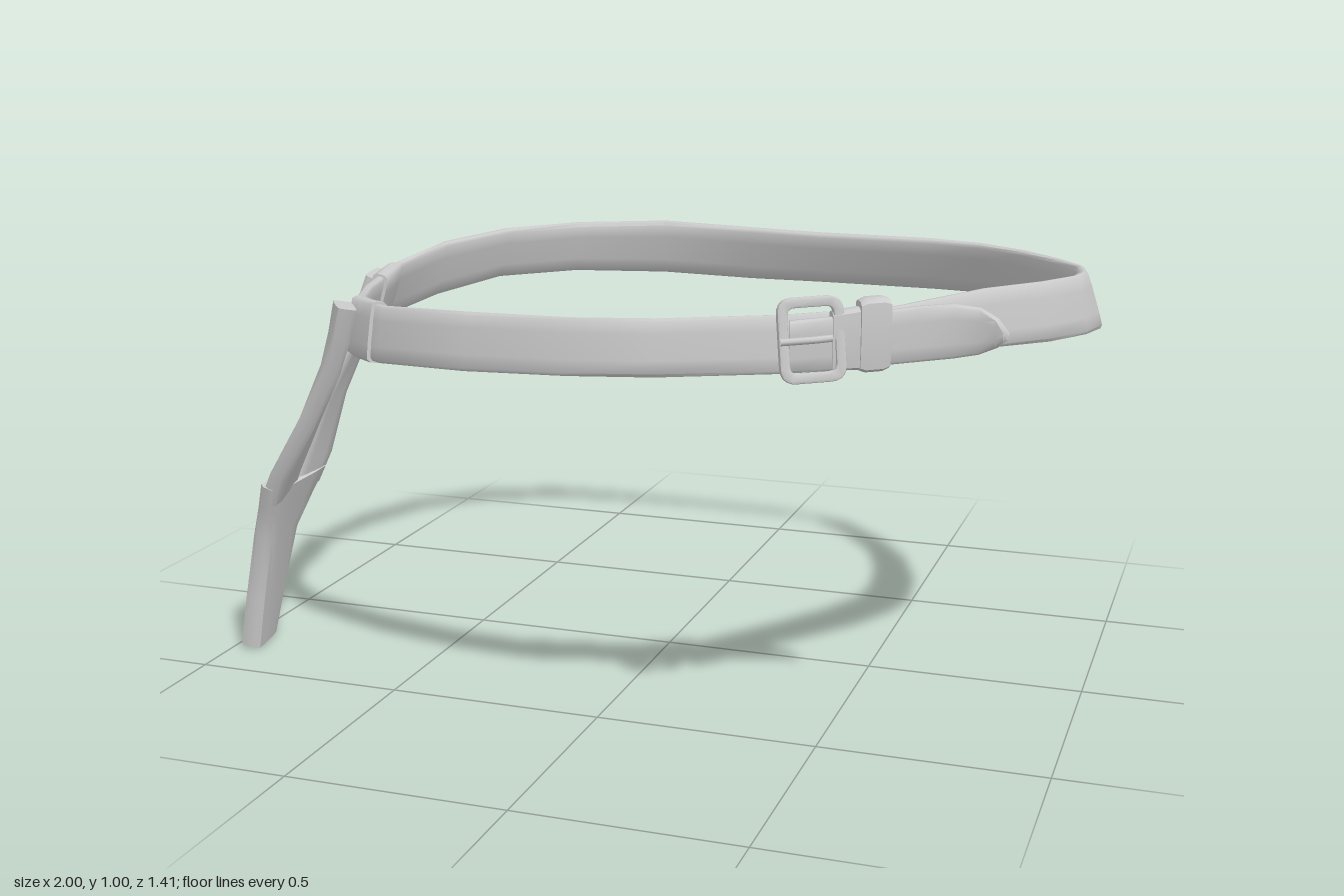
import * as THREE from 'three';
import { toCreasedNormals } from 'three/addons/utils/BufferGeometryUtils.js';

const V = (x, y, z) => new THREE.Vector3(x, y, z);
const material = new THREE.MeshStandardMaterial({ color: 0xcccccc });

function addMesh(parent, name, geometry) {
  const mesh = new THREE.Mesh(geometry, material);
  mesh.name = name;
  parent.add(mesh);
  return mesh;
}

// rounded flat cross-section: [along half width, along half thickness]
const PROFILE = [[1, 0.45], [0.9, 0.9], [0.45, 1], [-0.45, 1], [-0.9, 0.9], [-1, 0.45],
  [-1, -0.45], [-0.9, -0.9], [-0.45, -1], [0.45, -1], [0.9, -0.9], [1, -0.45]];

// Lofts a strap through sections { c: centre, u: half width vector }
function strap(sections, halfThick, closed = false) {
  const n = sections.length, m = PROFILE.length, pos = [], idx = [];
  sections.forEach(({ c, u }, i) => {
    const a = sections[closed ? (i + n - 1) % n : Math.max(i - 1, 0)].c;
    const b = sections[closed ? (i + 1) % n : Math.min(i + 1, n - 1)].c;
    const v = b.clone().sub(a).cross(u).normalize().multiplyScalar(halfThick);
    for (const [p, q] of PROFILE) {
      pos.push(...c.clone().addScaledVector(u, p).addScaledVector(v, q).toArray());
    }
  });
  for (let i = 0; i < (closed ? n : n - 1); i++) {
    for (let j = 0; j < m; j++) {
      const k = (j + 1) % m, r = i * m, s = ((i + 1) % n) * m;
      idx.push(r + j, r + k, s + j, r + k, s + k, s + j);
    }
  }
  if (!closed) {
    const e = (n - 1) * m;
    for (let j = 1; j < m - 1; j++) idx.push(0, j + 1, j, e, e + j, e + j + 1);
  }
  // turn the faces outward if the enclosed volume comes out negative
  const at = (i) => V().fromArray(pos, i * 3);
  let volume = 0;
  for (let i = 0; i < idx.length; i += 3) {
    volume += at(idx[i]).dot(at(idx[i + 1]).cross(at(idx[i + 2])));
  }
  if (volume < 0) idx.reverse();
  const g = new THREE.BufferGeometry();
  g.setAttribute('position', new THREE.Float32BufferAttribute(pos, 3));
  g.setIndex(idx);
  return toCreasedNormals(g, 0.95);
}

// belt stations, clockwise from the back: outer x, outer z, inward lean, bottom y, top y
const BELT = [
  [0.2, -0.71, 0.08, 0.8, 0.935], [0.5, -0.7, 0.08, 0.8, 0.935], [0.66, -0.65, 0.08, 0.805, 0.935],
  [0.8, -0.51, 0.07, 0.815, 0.94], [0.9, -0.36, 0.06, 0.82, 0.945], [0.97, -0.18, 0.06, 0.835, 0.96],
  [1, 0, 0.06, 0.85, 0.975], [0.98, 0.1, 0.045, 0.855, 0.98], [0.92, 0.23, 0.04, 0.86, 0.985],
  [0.82, 0.38, 0.035, 0.87, 0.99], [0.66, 0.57, 0.03, 0.865, 0.975], [0.45, 0.65, 0.035, 0.845, 0.96],
  [0.2, 0.7, 0.045, 0.83, 0.945], [0, 0.68, 0.045, 0.815, 0.932], [-0.25, 0.62, 0.045, 0.795, 0.918],
  [-0.5, 0.52, 0.04, 0.775, 0.9], [-0.62, 0.42, 0.035, 0.77, 0.893], [-0.7, 0.25, 0.05, 0.765, 0.893],
  [-0.76, 0, 0.07, 0.775, 0.91], [-0.71, -0.2, 0.06, 0.8, 0.935], [-0.62, -0.4, 0.065, 0.82, 0.947],
  [-0.46, -0.56, 0.06, 0.82, 0.95], [-0.24, -0.67, 0.06, 0.81, 0.95], [0, -0.705, 0.075, 0.8, 0.94],
];

function beltSections() {
  const n = BELT.length;
  return BELT.map(([x, z, lean, y0, y1], i) => {
    const a = BELT[(i + n - 1) % n], b = BELT[(i + 1) % n];
    const inward = V(a[1] - b[1], 0, b[0] - a[0]).normalize();
    return {
      c: V(x, (y0 + y1) / 2, z).addScaledVector(inward, lean / 2),
      u: inward.clone().multiplyScalar((lean - 0.02) / 2).setY((y1 - y0) / 2),
    };
  });
}

// section of the belt at a fractional station, widened a little
function sectionAt(sections, t, grow) {
  const i = Math.floor(t), a = sections[i], b = sections[i + 1];
  return { c: a.c.clone().lerp(b.c, t - i), u: a.u.clone().lerp(b.u, t - i).multiplyScalar(grow) };
}

// rows of centre x, y, z and half width vector x, y, z
const rows = (list) => list.map(([x, y, z, a, b, c]) => ({ c: V(x, y, z), u: V(a, b, c) }));

function roundedRect(path, w, h, r) {
  path.moveTo(-w + r, -h);
  path.lineTo(w - r, -h).quadraticCurveTo(w, -h, w, -h + r);
  path.lineTo(w, h - r).quadraticCurveTo(w, h, w - r, h);
  path.lineTo(-w + r, h).quadraticCurveTo(-w, h, -w, h - r);
  path.lineTo(-w, -h + r).quadraticCurveTo(-w, -h, -w + r, -h);
  return path;
}

function createBuckle() {
  const buckle = new THREE.Group();
  buckle.name = 'buckle';
  const shape = roundedRect(new THREE.Shape(), 0.062, 0.08, 0.028);
  shape.holes.push(roundedRect(new THREE.Path(), 0.05, 0.068, 0.02));
  const frame = new THREE.ExtrudeGeometry(shape, {
    depth: 0.012, bevelThickness: 0.004, bevelSize: 0.004, bevelSegments: 2, curveSegments: 5,
  });
  addMesh(buckle, 'buckleFrame', toCreasedNormals(frame.translate(0, 0, 0.004), 0.7));
  const prongPath = new THREE.CatmullRomCurve3([V(0.055, 0, 0.004), V(0.01, 0, 0.022), V(-0.064, 0, 0.022)]);
  addMesh(buckle, 'buckleProng', new THREE.TubeGeometry(prongPath, 8, 0.007, 8));
  buckle.position.set(0.51, 0.92, 0.65);
  buckle.rotation.set(-0.12, 0.46, 0.05, 'YXZ');
  return buckle;
}

export function createModel() {
  const model = new THREE.Group();
  model.name = 'beltWithHanger';
  const belt = beltSections();
  addMesh(model, 'beltBand', strap(belt, 0.012, true));

  // overlapping free end of the belt, past the buckle
  addMesh(model, 'beltTongue', strap(rows([
    [0.47, 0.904, 0.66, 0, 0.052, 0], [0.54, 0.91, 0.636, 0, 0.053, 0], [0.62, 0.918, 0.603, 0, 0.053, 0],
    [0.7, 0.926, 0.562, 0, 0.055, 0], [0.77, 0.932, 0.537, 0, 0.054, 0], [0.82, 0.934, 0.533, 0, 0.046, 0],
    [0.855, 0.933, 0.54, 0, 0.029, 0], [0.874, 0.93, 0.55, 0, 0.008, 0],
  ]), 0.01));

  // buckle, its leather fold and the keeper loop
  model.add(createBuckle());
  addMesh(model, 'buckleFold', strap(rows([
    [0.545, 0.915, 0.625, 0, 0.058, 0], [0.6, 0.92, 0.6, 0, 0.062, 0],
  ]), 0.024));
  addMesh(model, 'keeperLoop', strap(rows([
    [0.594, 0.925, 0.602, 0, 0.068, 0], [0.605, 0.926, 0.597, 0, 0.073, 0],
    [0.635, 0.928, 0.583, 0, 0.073, 0], [0.647, 0.929, 0.577, 0, 0.068, 0],
  ]), 0.032));

  // loops of the hanger around the belt
  for (const [name, from, to] of [['frontHangerLoop', 15.25, 16.1], ['rearHangerLoop', 17.36, 17.86]]) {
    const steps = [0, 0.5, 1].map((k) => sectionAt(belt, from + (to - from) * k, 1.08));
    addMesh(model, name, strap(steps, 0.02));
  }

  // forked hanger: two arms joining into one stem
  addMesh(model, 'hangerStem', strap(rows([
    [-0.968, 0.008, 0.305, 0.012, 0, 0.064], [-0.942, 0.13, 0.305, 0.008, 0, 0.068],
    [-0.905, 0.29, 0.305, 0.004, 0, 0.075], [-0.878, 0.37, 0.295, 0.004, 0, 0.105],
    [-0.858, 0.43, 0.285, 0.004, 0, 0.134], [-0.846, 0.47, 0.283, 0.004, 0, 0.138],
  ].slice(0, 5)), 0.026));
  addMesh(model, 'frontHangerArm', strap(rows([
    [-0.87, 0.39, 0.35, 0.006, 0, 0.055], [-0.835, 0.46, 0.362, 0.012, 0, 0.064],
    [-0.745, 0.6, 0.395, 0.02, 0, 0.055], [-0.672, 0.73, 0.42, 0.026, 0, 0.045],
    [-0.638, 0.81, 0.435, 0.03, 0, 0.045], [-0.615, 0.885, 0.445, 0.032, 0, 0.046],
  ]), 0.022));
  addMesh(model, 'rearHangerArm', strap(rows([
    [-0.87, 0.39, 0.235, 0, 0, 0.065], [-0.852, 0.46, 0.21, -0.002, 0, 0.076],
    [-0.825, 0.6, 0.157, 0.004, 0, 0.068], [-0.775, 0.73, 0.112, 0.01, 0, 0.062],
    [-0.742, 0.81, 0.1, 0.014, 0, 0.06], [-0.71, 0.895, 0.095, 0.014, 0, 0.06],
  ]), 0.02));
  return model;
}
